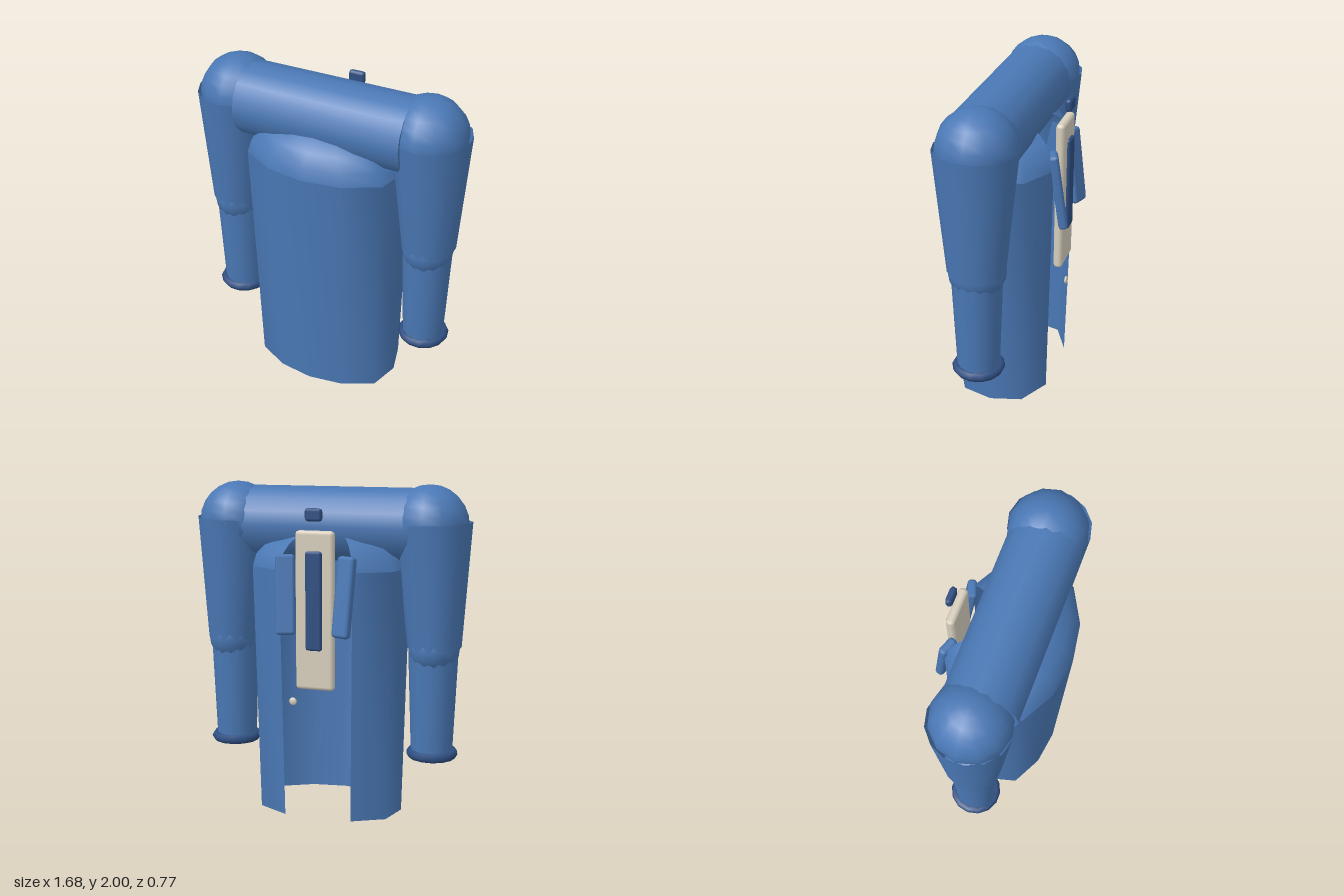
import * as THREE from 'three';
import { RoundedBoxGeometry } from 'three/addons/geometries/RoundedBoxGeometry.js';

export function createModel() {
  const model = new THREE.Group();
  model.name = 'coat';

  const material = (name, color) => {
    const m = new THREE.MeshStandardMaterial({ color });
    m.name = name;
    m.side = THREE.DoubleSide;
    return m;
  };
  const blue = material('blue cloth', 0x4a78b5);
  const navy = material('navy trim', 0x2f4f82);
  const cream = material('cream', 0xd8d0be);

  const add = (parent, name, geometry, mat, x = 0, y = 0, z = 0) => {
    const mesh = new THREE.Mesh(geometry, mat);
    mesh.name = name;
    mesh.position.set(x, y, z);
    parent.add(mesh);
    return mesh;
  };

  // Half cross-section of the coat body, from the front centre to the back opening
  const half = [[0, 0.38], [0.227, 0.345], [0.43, 0.235], [0.484, 0.02], [0.43, -0.195], [0.223, -0.31]];
  const section = [...half.slice(1).reverse().map(([x, z]) => [-x, z]), ...half];

  // Skin a stack of scaled sections; each ring is [y, scaleX, scaleZ, shiftZ]
  const loft = (rings) => {
    const n = section.length;
    const positions = [];
    const index = [];
    for (const [y, sx, sz, dz] of rings) {
      for (const [x, z] of section) positions.push(x * sx, y, z * sz + dz);
    }
    for (let r = 0; r < rings.length - 1; r++) {
      for (let i = 0; i < n - 1; i++) {
        const a = r * n + i;
        index.push(a, a + 1, a + n, a + 1, a + n + 1, a + n);
      }
    }
    const g = new THREE.BufferGeometry();
    g.setAttribute('position', new THREE.Float32BufferAttribute(positions, 3));
    g.setIndex(index);
    g.computeVertexNormals();
    return g;
  };

  // Body, open along the back and at the hem
  add(model, 'body', loft([[0, 0.93, 0.87, -0.01], [1.51, 1, 1, 0]]), blue);

  // Domed top of the body
  const domeRings = [];
  for (let i = 0; i <= 5; i++) {
    const t = (i / 5) * Math.PI / 2;
    const s = Math.max(Math.cos(t), 0.01);
    domeRings.push([1.51 + 0.25 * Math.sin(t), s, s, 0.03 * (1 - s)]);
  }
  add(model, 'bodyTop', loft(domeRings), blue);

  // Yoke across the shoulders
  const yoke = new THREE.CylinderGeometry(0.222, 0.222, 1.035, 16);
  yoke.rotateZ(Math.PI / 2);
  add(model, 'yoke', yoke, blue, 0, 1.755, 0.022);

  // Sleeves
  for (const side of [-1, 1]) {
    const sleeve = new THREE.Group();
    sleeve.name = side > 0 ? 'leftSleeve' : 'rightSleeve';
    model.add(sleeve);

    add(sleeve, 'shoulder', new THREE.SphereGeometry(0.235, 12, 12), blue, side * 0.597, 1.765, 0.008);

    const upper = add(sleeve, 'upperSleeve',
      new THREE.CylinderGeometry(0.228, 0.16, 0.74, 14, 1, true), blue, side * 0.63, 1.41, 0.008);
    upper.scale.z = 1.06;
    upper.rotation.z = side * 0.027;

    const elbow = add(sleeve, 'elbow', new THREE.SphereGeometry(0.16, 14, 10), blue, side * 0.638, 1.045, 0.008);
    elbow.scale.set(0.97, 1.1, 1.08);

    add(sleeve, 'lowerSleeve',
      new THREE.CylinderGeometry(0.15, 0.125, 0.65, 14, 1, true), blue, side * 0.634, 0.715, 0.008);

    const ring = new THREE.TorusGeometry(0.128, 0.029, 6, 14);
    ring.rotateX(Math.PI / 2);
    add(sleeve, 'cuff', ring, navy, side * 0.637, 0.39, 0.008);
  }

  // Lapels beside the back opening
  for (const side of [-1, 1]) {
    const lapel = add(model, side > 0 ? 'leftLapel' : 'rightLapel',
      new RoundedBoxGeometry(0.115, 0.47, 0.055, 1, 0.02), blue, side * 0.178, 1.37, -0.325);
    lapel.rotation.set(0.15, side * 0.35, side * -0.05, 'XYZ');
  }

  // Cream panel with its navy strip, the collar button and a small bead
  add(model, 'panel', new RoundedBoxGeometry(0.235, 0.935, 0.055, 1, 0.022), cream, 0, 1.278, -0.31);
  add(model, 'panelStrip', new RoundedBoxGeometry(0.1, 0.58, 0.036, 1, 0.015), navy, 0, 1.34, -0.339);
  add(model, 'collarButton', new RoundedBoxGeometry(0.104, 0.075, 0.04, 1, 0.018), navy, 0, 1.838, -0.337);
  const bead = add(model, 'bead', new THREE.SphereGeometry(0.024, 8, 6), cream, 0.12, 0.745, -0.37);
  bead.scale.z = 0.45;

  return model;
}
